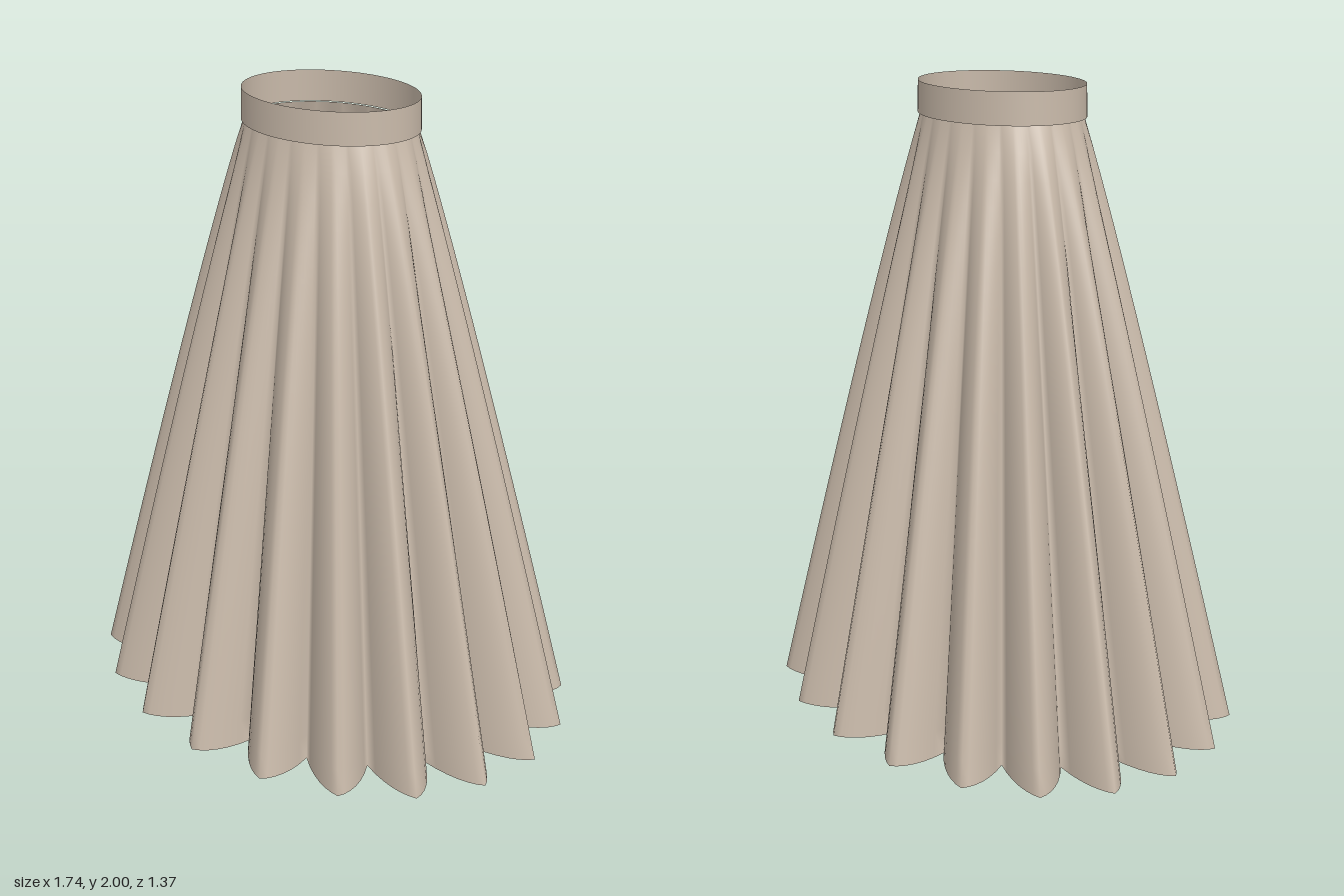
import * as THREE from 'three';

const PLEATS = 20, PER_PLEAT = 12, ROWS = 24;
const SEGMENTS = PLEATS * PER_PLEAT;
const PHASE = THREE.MathUtils.degToRad(-5); // angle of the first pleat ridge

// Closed, seamless ring surface; point(v, angle) gives [x, y, z], v runs from top to bottom
function ringSurface(rows, point) {
  const positions = [], index = [];
  for (let j = 0; j <= rows; j++) {
    for (let i = 0; i < SEGMENTS; i++) {
      positions.push(...point(j / rows, PHASE + (i / SEGMENTS) * Math.PI * 2));
    }
  }
  for (let j = 0; j < rows; j++) {
    for (let i = 0; i < SEGMENTS; i++) {
      const next = (i + 1) % SEGMENTS;
      const a = j * SEGMENTS + i, b = j * SEGMENTS + next;
      const c = a + SEGMENTS, d = b + SEGMENTS;
      index.push(a, b, c, b, d, c);
    }
  }
  const geometry = new THREE.BufferGeometry();
  geometry.setAttribute('position', new THREE.Float32BufferAttribute(positions, 3));
  geometry.setIndex(index);
  geometry.computeVertexNormals();
  return geometry;
}

// Pleat profile: 1 on a sharp ridge, 0 in a valley, with softly bulging sides
function pleat(angle) {
  const phase = ((angle - PHASE) / (Math.PI * 2)) * PLEATS;
  const t = Math.abs((phase - Math.floor(phase)) * 2 - 1);
  return t + 0.6 * t * (1 - t);
}

// Flared cloth: an oval waist spreading into a deeply pleated hem
function skirtPoint(v, angle) {
  const p = pleat(angle);
  const flare = Math.pow(v, 0.93);
  const rx = THREE.MathUtils.lerp(0.297, 0.685 + 0.187 * p, flare);
  const rz = THREE.MathUtils.lerp(0.232, 0.535 + 0.153 * p, flare);
  return [rx * Math.cos(angle), 1.9 * (1 - v), rz * Math.sin(angle)];
}

// Plain oval waistband
function bandPoint(v, angle) {
  return [(0.303 + 0.002 * v) * Math.cos(angle), 2 - 0.1 * v, (0.238 + 0.002 * v) * Math.sin(angle)];
}

export function createModel() {
  const model = new THREE.Group();
  model.name = 'pleatedSkirt';

  const cloth = new THREE.MeshStandardMaterial({ color: 0xc8b9a9, side: THREE.DoubleSide });
  cloth.name = 'beige cloth';

  const skirt = new THREE.Mesh(ringSurface(ROWS, skirtPoint), cloth);
  skirt.name = 'pleatedCloth';

  const band = new THREE.Mesh(ringSurface(1, bandPoint), cloth);
  band.name = 'waistband';

  model.add(skirt, band);
  return model;
}
